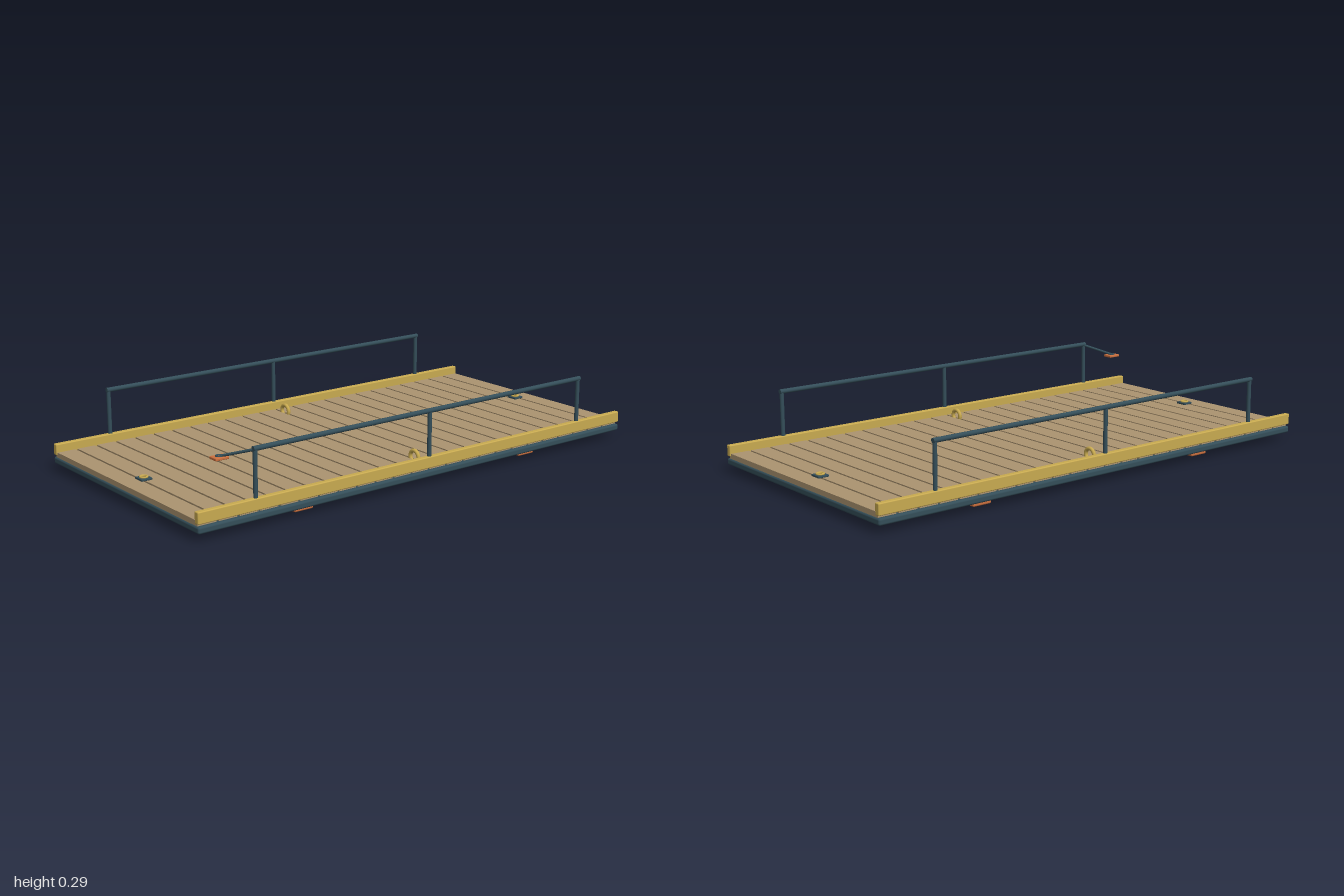
import * as THREE from 'three';
import { RoundedBoxGeometry } from 'three/addons/geometries/RoundedBoxGeometry.js';

const paint = (name, color) => {
  const m = new THREE.MeshStandardMaterial({ color });
  m.name = name;
  return m;
};

export function createModel() {
  const steel = paint('dark steel', 0x344e59);
  const wood = paint('deck wood', 0xac9470);
  const brass = paint('yellow trim', 0xc8aa50);
  const orange = paint('orange', 0xcb703f);

  const root = new THREE.Group();
  root.name = 'railedDeck';

  const add = (name, geo, mat, x, y, z) => {
    const mesh = new THREE.Mesh(geo, mat);
    mesh.name = name;
    mesh.position.set(x, y, z);
    root.add(mesh);
    return mesh;
  };
  const rounded = (w, h, d, r) => new RoundedBoxGeometry(w, h, d, 3, r);

  // round bar between two points
  const bar = (name, a, b, r, mat) => {
    const from = new THREE.Vector3(...a), to = new THREE.Vector3(...b);
    const dir = to.clone().sub(from);
    const mid = from.clone().add(to).multiplyScalar(0.5);
    const mesh = add(name, new THREE.CylinderGeometry(r, r, dir.length(), 16), mat, mid.x, mid.y, mid.z);
    mesh.quaternion.setFromUnitVectors(new THREE.Vector3(0, 1, 0), dir.normalize());
  };

  // chassis slab
  add('basePlate', rounded(2, 0.026, 1, 0.008), steel, 0, 0.043, 0);

  // deck planks with narrow gaps
  const count = 24, pitch = 2 / count;
  const plank = new THREE.BoxGeometry(pitch - 0.009, 0.02, 0.972);
  for (let i = 0; i < count; i++) {
    add('plank', plank, wood, -1 + pitch * (i + 0.5), 0.065, 0);
  }

  // feet under the slab
  for (const x of [-0.535, 0.535]) {
    for (const z of [-0.405, 0.405]) add('foot', rounded(0.08, 0.03, 0.084, 0.006), orange, x, 0.016, z);
  }

  // kerbs, railings and lashing rings, mirrored front to back
  for (const s of [-1, 1]) {
    const z = s * 0.487;
    add('kerb', rounded(2, 0.043, 0.022, 0.004), brass, 0, 0.0855, z);
    for (const x of [-0.765, 0, 0.765]) bar('railPost', [x, 0.07, z], [x, 0.278, z], 0.008, steel);
    bar('handrail', [-0.773, 0.278, z], [0.773, 0.278, z], 0.009, steel);

    const ring = add('lashingRing', new THREE.TorusGeometry(0.0225, 0.0075, 12, 32), brass, 0, 0.085, s * 0.405);
    ring.rotation.y = Math.PI / 2;
  }

  // small latch plates at both ends
  for (const x of [-0.907, 0.907]) {
    add('latchPlate', rounded(0.044, 0.008, 0.046, 0.002), steel, x, 0.079, 0);
    const eye = add('latchRing', new THREE.TorusGeometry(0.013, 0.004, 10, 24), brass, x, 0.085, 0);
    eye.rotation.x = Math.PI / 2;
  }

  // control arm with its pad
  bar('controlArm', [-0.765, 0.275, 0.487], [-0.835, 0.241, 0.385], 0.005, steel);
  add('controlPad', rounded(0.054, 0.01, 0.042, 0.003), orange, -0.837, 0.235, 0.382);
  const dial = add('padRing', new THREE.TorusGeometry(0.011, 0.003, 10, 24), steel, -0.837, 0.241, 0.382);
  dial.rotation.x = Math.PI / 2;

  return root;
}
